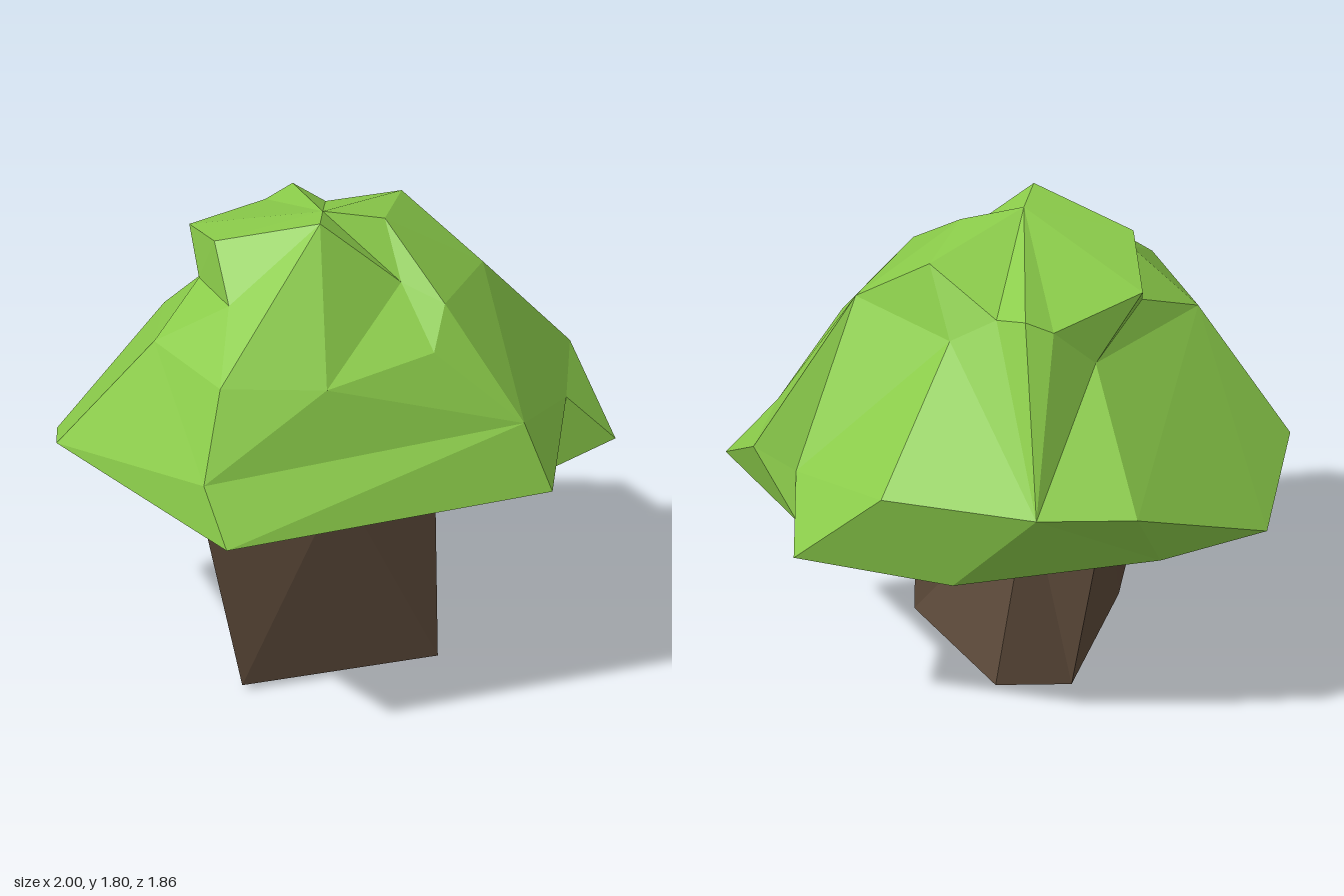
import * as THREE from 'three';

const gap = (a, b) => Math.hypot(a[0] - b[0], a[1] - b[1], a[2] - b[2]);

// Joins a lower and an upper ring along the shortest diagonals
// (a one-point ring makes a fan; points shared by both rings are welded)
function stitch(lower, upper, out) {
  const nl = lower.length > 1 ? lower.length : 0;
  const nu = upper.length > 1 ? upper.length : 0;
  let i = 0, j = 0;
  while (i < nl || j < nu) {
    const a = lower[i % lower.length], b = upper[j % upper.length];
    const nextA = lower[(i + 1) % lower.length], nextB = upper[(j + 1) % upper.length];
    const stepLower = j >= nu || (i < nl && gap(nextA, b) < gap(nextB, a));
    const c = stepLower ? nextA : nextB;
    if (a !== b && b !== c && a !== c) out.push(...a, ...c, ...b);
    if (stepLower) i++;
    else j++;
  }
}

// Faceted body from rings listed bottom to top, each running from the front towards +x
function facetedBody(rings, material, name) {
  const pos = [];
  for (let k = 0; k + 1 < rings.length; k++) stitch(rings[k], rings[k + 1], pos);
  const geo = new THREE.BufferGeometry();
  geo.setAttribute('position', new THREE.Float32BufferAttribute(pos, 3));
  geo.computeVertexNormals();
  const mesh = new THREE.Mesh(geo, material);
  mesh.name = name;
  return mesh;
}

export function createModel() {
  const leafGreen = new THREE.MeshStandardMaterial({ color: 0x8bcc4a, flatShading: true });
  leafGreen.name = 'leaf green';
  const barkBrown = new THREE.MeshStandardMaterial({
    color: 0x5d4a3a, flatShading: true, side: THREE.DoubleSide,
  });
  barkBrown.name = 'bark brown';

  // Leaning four-sided trunk, open at the bottom
  const trunk = facetedBody([
    [[-0.21, 0.02, 0.38], [0.43, 0.02, 0], [-0.06, 0.03, -0.41], [-0.29, 0, -0.25]],
    [[-0.36, 0.76, 0.42], [0.12, 0.8, 0.24], [0.42, 0.76, 0], [-0.12, 0.76, -0.24], [-0.39, 0.74, -0.15]],
  ], barkBrown, 'trunk');

  // Underside around the trunk
  const underside = [
    [-0.08, 0.65, 0.4], [0.42, 0.67, 0.12], [0.42, 0.61, -0.1], [0.57, 0.62, -0.3], [0.55, 0.62, -0.62],
    [-0.4, 0.65, -0.4], [-0.38, 0.71, 0.3],
  ];
  // Widest edge of the crown
  const rim = [
    [-0.15, 0.84, 0.93], [0.9, 0.84, 0.22], [0.78, 0.7, -0.2], [1, 0.76, -0.4], [0.58, 0.75, -0.74],
    [0.52, 0.7, -0.91], [-0.06, 0.66, -0.81], [-0.7, 0.69, -0.4], [-1, 0.73, -0.12], [-0.91, 0.89, 0.31],
  ];
  // Lower slope
  const slope = [
    [-0.26, 1.03, 0.81], [0.79, 1.09, 0.19], [0.84, 0.96, -0.3], [0.77, 0.99, -0.69], [0.62, 0.9, -0.65],
    [0.17, 1.03, -0.93], [-0.4, 1.02, -0.84], [-0.72, 1, -0.66], [-0.55, 1.34, 0.31],
  ];
  // Back ledge, shared by the shoulder and the knob
  const ledge = [[-0.08, 1.58, -0.45], [-0.21, 1.62, -0.49], [-0.3, 1.57, -0.44]];
  // Shoulder with notches
  const shoulder = [
    [-0.24, 1.33, 0.62], [0.13, 1.31, 0.51], [0.47, 1.37, 0.25], [0.48, 1.5, 0.11], [0.53, 1.47, -0.31],
    [0.09, 1.47, -0.48], ...ledge, [-0.41, 1.4, -0.31], [-0.44, 1.48, 0.05], [-0.27, 1.52, 0.33],
  ];
  // Top knob
  const knob = [
    [0.03, 1.8, 0.16], [0.31, 1.55, 0.07], [0.22, 1.73, -0.07], [0.22, 1.7, -0.36],
    ...ledge, [-0.51, 1.61, -0.11], [-0.36, 1.69, 0.16],
  ];
  const crown = facetedBody(
    [[[0, 0.66, 0]], underside, rim, slope, shoulder, knob, [[0.01, 1.78, 0.02]]],
    leafGreen, 'crown');

  const tree = new THREE.Group();
  tree.name = 'tree';
  tree.add(trunk, crown);
  return tree;
}
